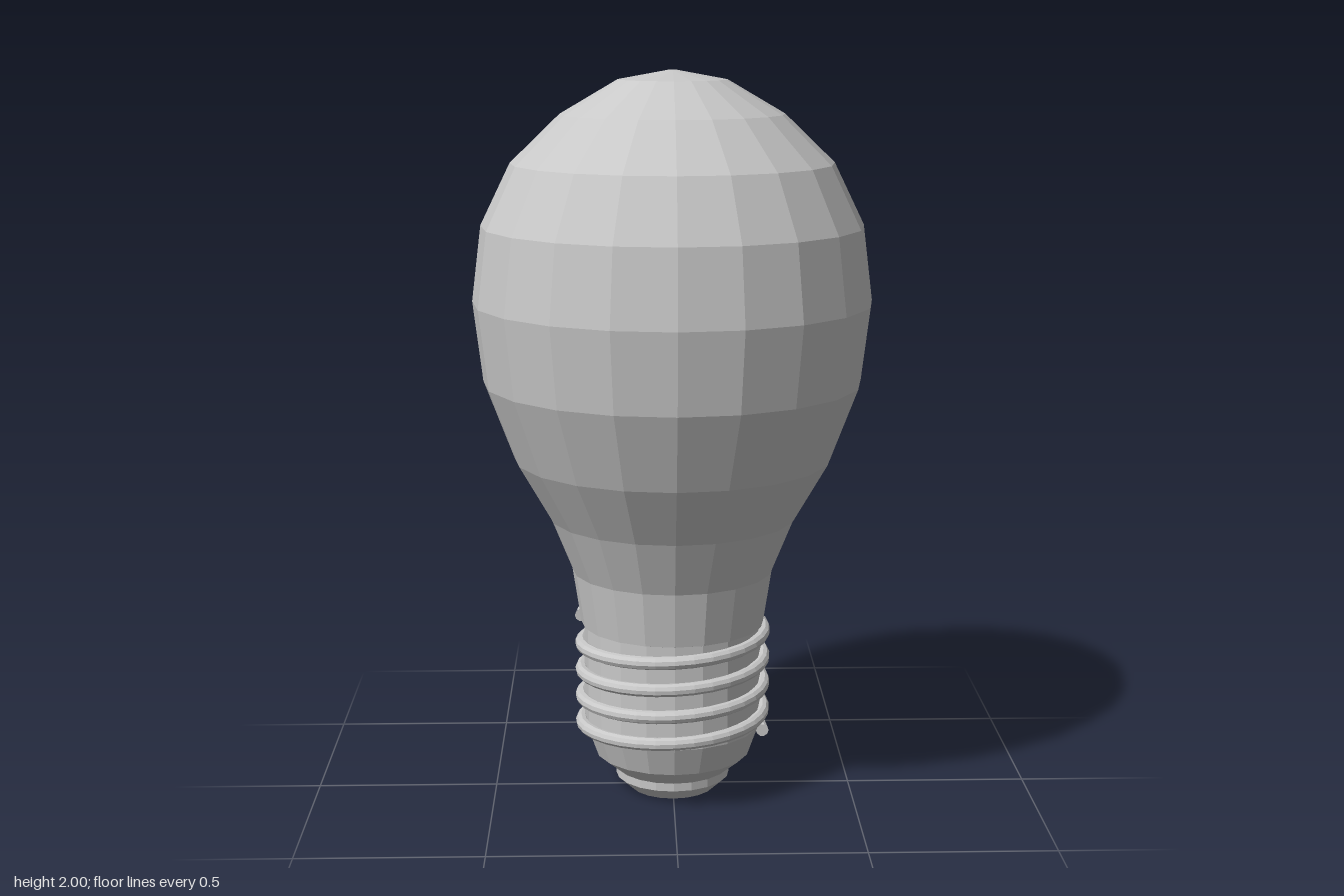
import * as THREE from 'three';

const SIDES = 20;

export function createModel() {
  const grey = new THREE.MeshStandardMaterial({ color: 0xc8c8c8, flatShading: true });
  grey.name = 'light grey';
  const group = new THREE.Group();
  group.name = 'lightBulb';

  const add = (name, geometry, parent = group) => {
    const mesh = new THREE.Mesh(geometry, grey);
    mesh.name = name;
    parent.add(mesh);
    return mesh;
  };
  // Faceted part turned around y from [radius, height] pairs, bottom to top
  const turned = (name, profile) =>
    add(name, new THREE.LatheGeometry(profile.map(([r, y]) => new THREE.Vector2(r, y)), SIDES));

  // Glass, with a pinhole at the crown
  turned('glassBulb', [
    [0.24, 0.48], [0.255, 0.485], [0.278, 0.637], [0.34, 0.79], [0.435, 0.955], [0.515, 1.167],
    [0.541, 1.385], [0.515, 1.59], [0.434, 1.756], [0.3, 1.885], [0.146, 1.975], [0.01, 2.0],
  ]);

  // Socket sleeve with tapered foot
  turned('screwBase', [[0.15, 0.06], [0.16, 0.06], [0.218, 0.108], [0.247, 0.19], [0.247, 0.485]]);

  // Bottom contact
  turned('contact', [[0.004, 0], [0.12, 0], [0.16, 0.037], [0.16, 0.062], [0.14, 0.064]]);

  // Screw thread: a round wire wound up the sleeve
  const TURNS = 4.5, PITCH = 0.0765, RADIUS = 0.255, WIRE = 0.018, START = 0.155;
  class Helix extends THREE.Curve {
    getPoint(t, target = new THREE.Vector3()) {
      const a = t * TURNS * Math.PI * 2;
      return target.set(RADIUS * Math.cos(a), START + PITCH * TURNS * t, -RADIUS * Math.sin(a));
    }
  }
  const thread = new THREE.Group();
  thread.name = 'thread';
  group.add(thread);
  const helix = new Helix();
  helix.arcLengthDivisions = 900;
  add('threadWire', new THREE.TubeGeometry(helix, 144, WIRE, 10), thread);
  // Both wire ends face +z
  for (const t of [0, 1]) {
    add('threadEnd', new THREE.CircleGeometry(WIRE, 10), thread).position.copy(helix.getPoint(t));
  }

  return group;
}
